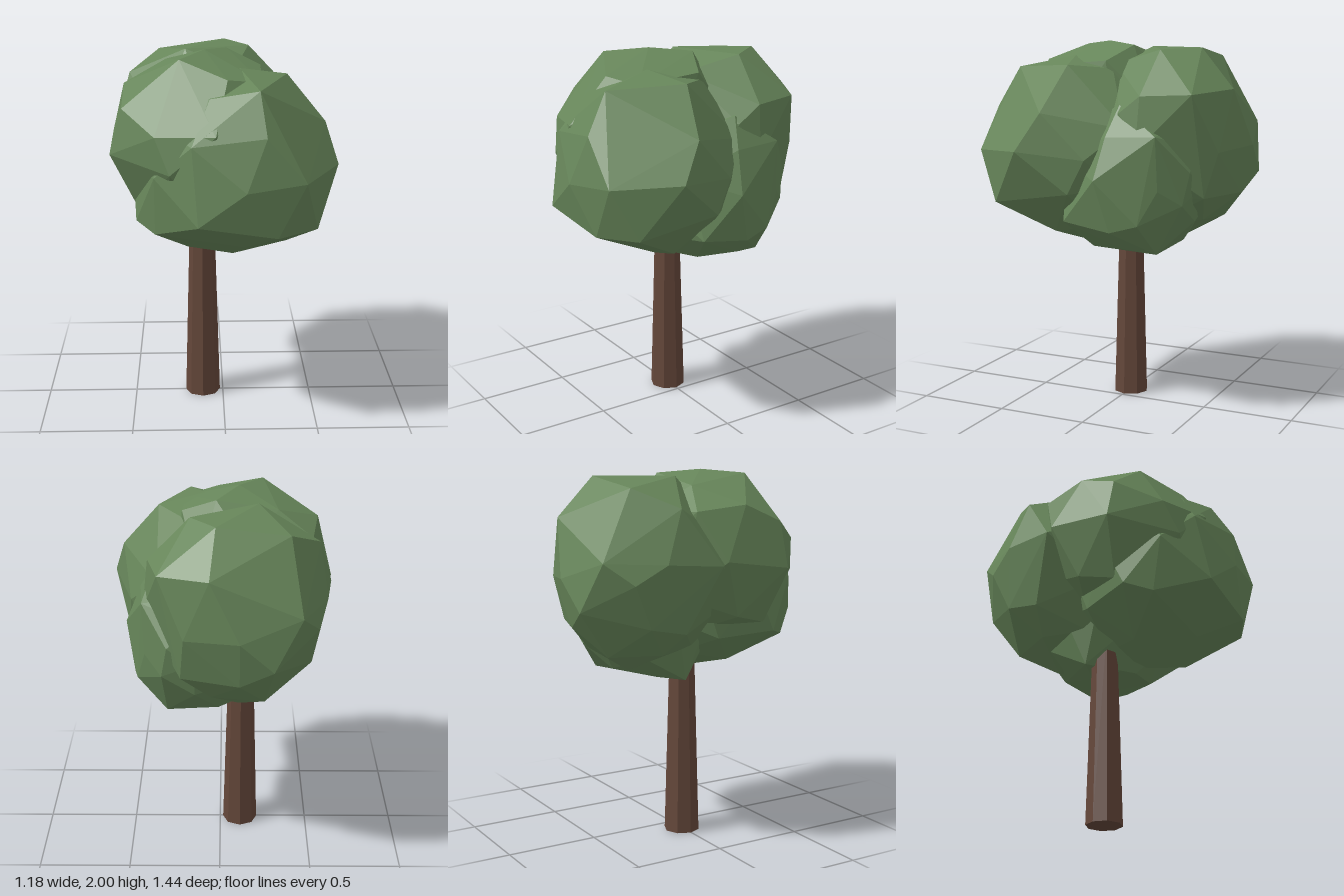
import * as THREE from 'three';
import { ConvexGeometry } from 'three/addons/geometries/ConvexGeometry.js';

const leaf = new THREE.MeshStandardMaterial({ color: 0x67865a, flatShading: true });
leaf.name = 'leaf green';
const bark = new THREE.MeshStandardMaterial({ color: 0x64473a, flatShading: true });
bark.name = 'bark brown';

// Faceted clump: a coarse ball around a centre, drawn out to a few key corners.
// Where no key corner is near, the radius blends between the surrounding ones.
function leafClump(name, centre, corners) {
  const mid = new THREE.Vector3(...centre);
  const keys = corners.map((c) => {
    const offset = new THREE.Vector3(...c).sub(mid);
    return { offset, r: offset.length() };
  });
  const points = keys.map((k) => k.offset);
  const ball = new THREE.IcosahedronGeometry(1, 1).attributes.position;
  const v = new THREE.Vector3();
  for (let i = 0; i < ball.count; i++) {
    v.fromBufferAttribute(ball, i);
    let nearest = Infinity, sum = 0, total = 0;
    for (const k of keys) {
      const angle = v.angleTo(k.offset);
      const weight = 1 / (angle ** 4 + 0.001);
      nearest = Math.min(nearest, angle);
      sum += weight * k.r;
      total += weight;
    }
    if (nearest > 0.38) points.push(v.clone().multiplyScalar((0.96 * sum) / total));
  }
  const mesh = new THREE.Mesh(new ConvexGeometry(points), leaf);
  mesh.name = name;
  mesh.position.copy(mid);
  return mesh;
}

export function createModel() {
  const tree = new THREE.Group();
  tree.name = 'tree';

  // Tapered eight-sided trunk
  const trunk = new THREE.Mesh(new THREE.CylinderGeometry(0.067, 0.098, 1.1, 8), bark);
  trunk.name = 'trunk';
  trunk.position.set(-0.115, 0.55, -0.003);
  tree.add(trunk);

  // Four overlapping clumps form the crown
  tree.add(
    leafClump('frontLeftFoliage', [0.08, 1.4, 0.24], [
      [0.59, 1.44, 0.34], [0.53, 1.64, 0.22], [0.33, 1.88, 0.16], [0.17, 1.86, 0.54],
      [0.18, 1.86, -0.03], [0.4, 1.42, 0.66], [0.1, 1.39, 0.72], [0.2, 1.65, 0.66],
      [-0.14, 1.21, 0.7], [0.26, 1.14, 0.66], [0.47, 1.15, 0.53], [-0.36, 1.11, 0.48],
      [0.05, 0.9, 0.18], [0.1, 1.03, 0.46], [0.5, 1.22, 0.08], [-0.17, 1.6, 0.63],
      [-0.46, 1.15, 0.36], [-0.36, 1.42, 0.53],
    ]),
    leafClump('frontRightFoliage', [-0.14, 1.5, 0.2], [
      [-0.59, 1.5, 0.35], [-0.59, 1.55, -0.02], [-0.52, 1.83, 0.13], [-0.48, 1.8, -0.14],
      [-0.23, 1.98, 0.32], [-0.1, 2.0, 0.12], [0.02, 1.98, -0.08], [0.19, 1.87, 0.36],
      [-0.28, 1.45, 0.6], [-0.05, 1.65, 0.63], [-0.45, 1.2, 0.3], [-0.5, 1.25, 0.1],
      [-0.2, 1.08, 0.2], [0.24, 1.6, 0.2], [0.2, 1.9, 0],
    ]),
    leafClump('backFoliage', [-0.1, 1.45, -0.26], [
      [-0.59, 1.53, -0.05], [-0.55, 1.55, -0.35], [-0.51, 1.82, -0.25], [-0.35, 1.92, -0.45],
      [-0.41, 1.56, -0.64], [-0.27, 1.3, -0.7], [-0.1, 1.46, -0.72], [0.05, 1.76, -0.66],
      [0.02, 1.97, -0.47], [0.15, 1.96, -0.29], [-0.2, 1.97, -0.1], [0.31, 1.74, -0.53],
      [0.37, 1.73, -0.27], [0.36, 1.64, -0.15], [0.18, 1.44, -0.63], [0.2, 1.2, -0.56],
      [-0.23, 1.05, -0.52], [-0.1, 0.94, -0.33], [-0.48, 1.18, -0.2],
    ]),
    leafClump('lowerSideFoliage', [0.13, 1.26, -0.17], [
      [0.42, 1.52, -0.1], [0.4, 1.53, -0.37], [0.27, 1.34, -0.51], [0.3, 1.17, -0.48],
      [0.45, 1.07, 0.13], [0.46, 1.03, -0.14], [0.505, 1.3, -0.07], [0.28, 0.9, -0.33],
      [-0.06, 0.875, -0.13], [-0.23, 0.88, -0.05], [0.05, 0.89, 0.09], [0.33, 1.68, -0.14],
      [0.39, 1.25, -0.38], [0.14, 0.88, -0.2],
    ]),
  );
  return tree;
}
